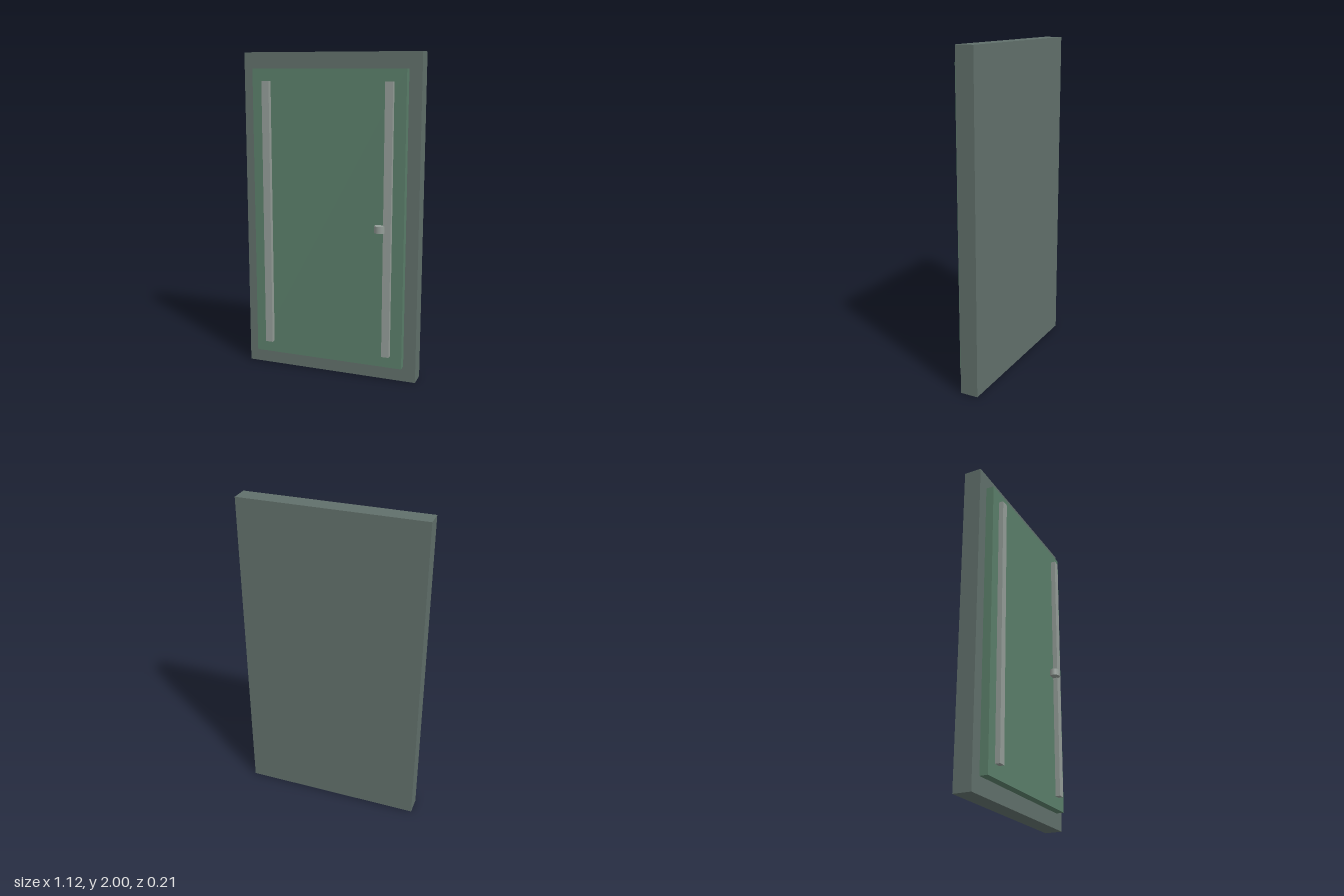
import * as THREE from 'three';

export function createModel() {
  const model = new THREE.Group();
  model.name = 'door';

  const material = (name, color) => {
    const m = new THREE.MeshStandardMaterial({ color });
    m.name = name;
    return m;
  };
  const frameGrey = material('frameGrey', 0x61706b);
  const panelGreen = material('panelGreen', 0x5b7f6a);
  const trimGrey = material('trimGrey', 0x949d98);

  const add = (name, geometry, mat, x, y, z) => {
    const mesh = new THREE.Mesh(geometry, mat);
    mesh.name = name;
    mesh.position.set(x, y, z);
    model.add(mesh);
  };

  // Solid slab behind the door leaf
  add('frame', new THREE.BoxGeometry(1.12, 2, 0.11), frameGrey, 0, 1, -0.055);

  // Raised door leaf
  add('doorPanel', new THREE.BoxGeometry(0.966, 1.806, 0.05), panelGreen, 0, 1.001, 0.025);

  // Vertical trim strips, mirrored left and right
  for (const side of [-1, 1]) {
    add(side > 0 ? 'leftStrip' : 'rightStrip',
      new THREE.BoxGeometry(0.047, 1.656, 0.03), trimGrey, side * 0.387, 1.002, 0.065);
  }

  // Short upright round knob beside the left strip
  add('knob', new THREE.CylinderGeometry(0.034, 0.034, 0.042, 12), trimGrey, 0.341, 0.97, 0.07);

  return model;
}
